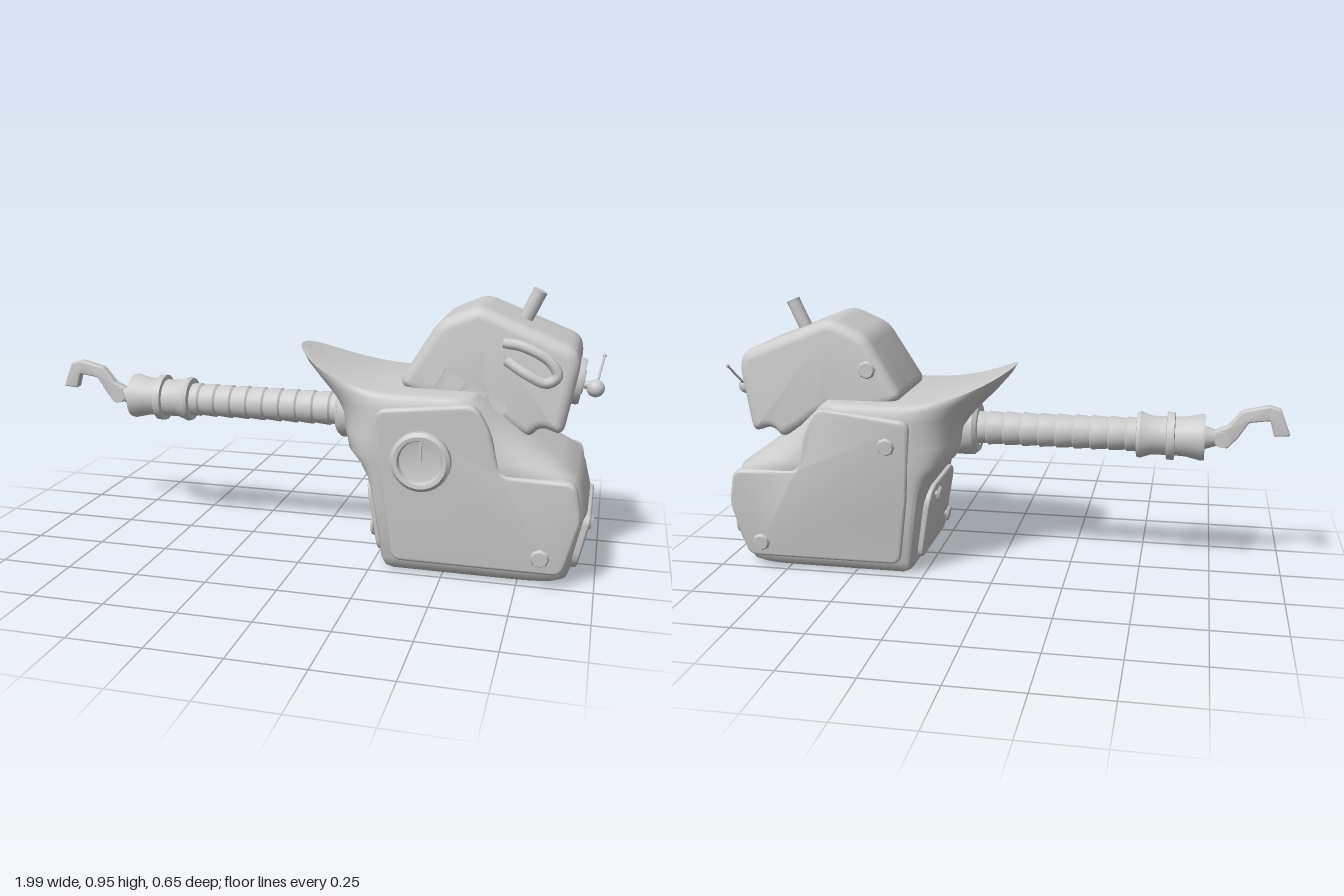
import * as THREE from 'three';
import { toCreasedNormals } from 'three/addons/utils/BufferGeometryUtils.js';

const grey = new THREE.MeshStandardMaterial({ color: 0xcccccc, side: THREE.DoubleSide });
const V = (x, y, z) => new THREE.Vector3(x, y, z);

function add(parent, name, geometry, pos = [0, 0, 0], rot = [0, 0, 0]) {
  const mesh = new THREE.Mesh(geometry, grey);
  mesh.name = name;
  mesh.position.set(...pos);
  mesh.rotation.set(...rot);
  parent.add(mesh);
  return mesh;
}

// Outline with softened corners
function roundedShape(points, r) {
  const p = points.map(([x, y]) => new THREE.Vector2(x, y)), n = p.length, s = new THREE.Shape();
  p.forEach((c, i) => {
    const toward = q => c.clone().add(q.clone().sub(c).setLength(Math.min(r, q.distanceTo(c) * 0.45)));
    const a = toward(p[(i + n - 1) % n]), b = toward(p[(i + 1) % n]);
    if (i) s.lineTo(a.x, a.y); else s.moveTo(a.x, a.y);
    s.quadraticCurveTo(c.x, c.y, b.x, b.y);
  });
  return s;
}

// Bevelled slab centred on z = 0
function slab(points, thick, bevel, round, steps = 1) {
  const g = new THREE.ExtrudeGeometry(roundedShape(points, round), {
    depth: thick - 2 * bevel, bevelThickness: bevel, bevelSize: bevel, bevelOffset: -bevel,
    bevelSegments: 4, curveSegments: 5, steps,
  });
  g.translate(0, 0, -(thick / 2 - bevel));
  return g;
}

// Body: rings stacked upward, boxy below, flaring to a rounded spout on the arm side
function bodyGeometry() {
  // y, xMin, xMax, halfZ, left exponent, right exponent, lift of the spout
  const rings = [
    [0.005, 0.32, 0.89, 0, 9, 9, 0], [0.005, 0.32, 0.89, 0.2, 9, 9, 0], [0.02, 0.297, 0.912, 0.222, 9, 9, 0],
    [0.05, 0.285, 0.922, 0.236, 9, 9, 0], [0.25, 0.255, 0.965, 0.256, 9, 9, 0],
    [0.33, 0.235, 0.945, 0.264, 7, 9, 0], [0.38, 0.2, 0.925, 0.27, 5, 8, 0],
    [0.42, 0.155, 0.87, 0.274, 4, 5, 0], [0.48, 0.13, 0.79, 0.278, 3, 4, 0],
    [0.53, 0.12, 0.72, 0.28, 2.6, 4, 0], [0.575, 0.085, 0.66, 0.282, 2.3, 5, 0.02],
    [0.61, 0.02, 0.62, 0.278, 2.1, 6, 0.06], [0.622, -0.03, 0.605, 0.27, 2, 6, 0.095],
    [0.628, -0.05, 0.6, 0.262, 2, 6, 0.112], [0.631, -0.045, 0.595, 0.245, 2, 6, 0.11],
    [0.633, -0.03, 0.59, 0, 2, 6, 0.1],
  ];
  const N = 72, cx = 0.35, pos = [], index = [];
  rings.forEach(([y, x0, x1, hz, nl, nr, lift], j) => {
    for (let i = 0; i < N; i++) {
      const a = (i / N) * Math.PI * 2, c = Math.cos(a), s = Math.sin(a);
      const e = 2 / (c < 0 ? nl : nr);
      const x = cx + Math.sign(c) * Math.abs(c) ** e * (c < 0 ? cx - x0 : x1 - cx);
      const z = Math.sign(s) * Math.abs(s) ** e * hz;
      const k = Math.max(0, (cx - x) / 0.4);
      pos.push(x, y + lift * k ** 2.2, z);
      if (j) {
        const p = (j - 1) * N + i, q = (j - 1) * N + (i + 1) % N;
        index.push(p, p + N, q, q, p + N, q + N);
      }
    }
  });
  const g = new THREE.BufferGeometry();
  g.setAttribute('position', new THREE.Float32BufferAttribute(pos, 3));
  g.setIndex(index);
  return toCreasedNormals(g, 0.7);
}

// Bolt with a thin stem and faceted cap, pointing along dir
function bolt(parent, at, dir) {
  const g = new THREE.Group();
  g.name = 'bolt';
  add(g, 'boltStem', new THREE.CylinderGeometry(0.01, 0.01, 0.04, 8), [0, -0.01, 0]);
  add(g, 'boltCap', new THREE.CylinderGeometry(0.026, 0.032, 0.01, 8), [0, 0.008, 0]);
  g.position.set(...at);
  g.quaternion.setFromUnitVectors(V(0, 1, 0), V(...dir).normalize());
  parent.add(g);
}

function makeBody() {
  const body = new THREE.Group();
  body.name = 'body';
  add(body, 'bodyShell', bodyGeometry());
  // Raised panels with a notch below the head
  const side = [[0.275, 0.585], [0.6, 0.62], [0.65, 0.53], [0.685, 0.385], [0.925, 0.38],
    [0.95, 0.25], [0.895, 0.05], [0.33, 0.05], [0.295, 0.3]];
  for (const s of [1, -1])
    add(body, 'sidePanel', toCreasedNormals(slab(side, 0.04, 0.012, 0.035), 0.7), [0, 0, s * 0.227], [s * 0.08, 0, 0]);
  const end = [[-0.2, 0.25], [0.2, 0.25], [0.19, 0.09], [0.15, 0.045], [-0.15, 0.045], [-0.19, 0.09]];
  add(body, 'endPanel', toCreasedNormals(slab(end, 0.03, 0.01, 0.03), 0.7), [0.913, 0, 0], [0.21, Math.PI / 2, 0, 'YXZ']);
  const back = [[-0.19, 0.28], [-0.15, 0.32], [0.15, 0.32], [0.19, 0.28], [0.18, 0.05], [-0.18, 0.05]];
  add(body, 'armSidePanel', toCreasedNormals(slab(back, 0.03, 0.01, 0.04), 0.7), [0.288, 0, 0], [0.16, -Math.PI / 2, 0, 'YXZ']);
  // Porthole
  const port = new THREE.LatheGeometry([[0, 0.012], [0.02, 0.008], [0.07, 0.018], [0.075, 0.034], [0.088, 0.036],
    [0.1, 0.025], [0.1, -0.03]].map(([r, y]) => new THREE.Vector2(r, y)), 32);
  add(body, 'porthole', toCreasedNormals(port, 0.6), [0.43, 0.42, 0.285], [Math.PI / 2, 0, 0]);
  add(body, 'portholeNeedle', new THREE.BoxGeometry(0.008, 0.07, 0.008), [0.43, 0.455, 0.305]);
  bolt(body, [0.825, 0.12, 0.283], [0, -0.08, 1]);
  bolt(body, [0.825, 0.12, -0.29], [0, -0.08, -1]);
  bolt(body, [0.35, 0.5, -0.312], [0, -0.08, -1]);
  bolt(body, [0.968, 0.12, -0.125], [1, -0.2, 0]);
  bolt(body, [0.248, 0.12, 0.13], [-1, -0.15, 0]);
  bolt(body, [0.22, 0.28, -0.12], [-1, -0.15, 0]);
  return body;
}

function makeHead() {
  const head = new THREE.Group();
  head.name = 'head';
  const outline = [[0.32, 0.64], [0.45, 0.855], [0.58, 0.912], [0.9, 0.785], [0.915, 0.73], [0.87, 0.495],
    [0.8, 0.525], [0.76, 0.48], [0.68, 0.53], [0.6, 0.59], [0.4, 0.6]];
  const g = slab(outline, 0.37, 0.035, 0.035, 4), p = g.attributes.position;
  // Sides lean in toward the top
  for (let i = 0; i < p.count; i++)
    p.setZ(i, p.getZ(i) * (1.05 - 0.17 * (p.getY(i) - 0.49) / 0.4) - 0.025);
  add(head, 'skull', toCreasedNormals(g, 0.6));
  for (let i = 0; i < 4; i++) // row of raised blocks along the jaw
    add(head, 'jawBlock', new THREE.BoxGeometry(0.06, 0.07, 0.02),
      [0.44 + i * 0.07, 0.685 - i * 0.037, 0.152 + i * 0.003], [-0.08, 0, -0.48]);
  const loop = new THREE.CatmullRomCurve3([V(0.67, 0.795, 0.14), V(0.73, 0.79, 0.16), V(0.82, 0.745, 0.165),
    V(0.845, 0.7, 0.165), V(0.815, 0.675, 0.168), V(0.75, 0.7, 0.168), V(0.68, 0.74, 0.15)]);
  add(head, 'sideLoop', new THREE.TubeGeometry(loop, 32, 0.018, 8));
  // Chimney
  const pipe = new THREE.CatmullRomCurve3([V(0.7, 0.81, -0.02), V(0.735, 0.88, -0.02), V(0.765, 0.945, -0.02)]);
  add(head, 'chimney', new THREE.TubeGeometry(pipe, 8, 0.024, 12));
  add(head, 'chimneyCap', new THREE.CylinderGeometry(0.025, 0.024, 0.01, 12), [0.765, 0.945, -0.02], [0, 0, -0.42]);
  // Eye with knob and feeler
  const eye = new THREE.LatheGeometry([[0, 0.014], [0.035, 0.014], [0.038, 0.024], [0.05, 0.01], [0.075, 0.02], [0.08, 0.01],
    [0.08, -0.03]].map(([r, y]) => new THREE.Vector2(r, y)), 24);
  add(head, 'eyeRing', toCreasedNormals(eye, 0.6), [0.902, 0.65, -0.02], [0, 0, -Math.PI / 2 - 0.16]);
  add(head, 'eyeStem', new THREE.CylinderGeometry(0.014, 0.014, 0.06, 12), [0.93, 0.638, -0.02], [0, 0, -Math.PI / 2 - 0.16]);
  add(head, 'eyeKnob', new THREE.SphereGeometry(0.03, 20, 14), [0.963, 0.627, -0.02]);
  add(head, 'feeler', new THREE.TubeGeometry(new THREE.LineCurve3(V(0.965, 0.63, -0.03), V(0.985, 0.72, -0.128)), 1, 0.004, 6));
  add(head, 'feelerTip', new THREE.SphereGeometry(0.007, 8, 6), [0.985, 0.72, -0.128]);
  bolt(head, [0.435, 0.745, -0.225], [0, 0, -1]);
  return head;
}

function makeArm() {
  const arm = new THREE.Group();
  arm.name = 'arm';
  // Ribbed sleeve: profile runs outward along the arm
  const sleeve = [];
  for (let i = 0; i < 10; i++)
    sleeve.push([0.055, -0.12 + i * 0.062], [0.061, -0.113 + i * 0.062], [0.057, -0.066 + i * 0.062]);
  const cuff = [[0.05, 0.475], [0.078, 0.478], [0.082, 0.49], [0.068, 0.53], [0.068, 0.58], [0.084, 0.582], [0.084, 0.608],
    [0.068, 0.61], [0.07, 0.65], [0.082, 0.7], [0.08, 0.712], [0.055, 0.712], [0.05, 0.7], [0, 0.7]];
  const collar = [[0.06, -0.16], [0.1, -0.16], [0.098, -0.1], [0.085, -0.085], [0.064, -0.085], [0.06, -0.12]];
  for (const [name, pts] of [['armSleeve', sleeve], ['cuff', cuff], ['shoulderCollar', collar]]) {
    const g = new THREE.LatheGeometry(pts.map(([r, y]) => new THREE.Vector2(r, y)), 24);
    add(arm, name, toCreasedNormals(g, 0.6), [0, 0.503, -0.005], [0, 0, Math.PI / 2]);
  }
  // Wrist and hooked claw
  add(arm, 'wrist', new THREE.CylinderGeometry(0.022, 0.045, 0.07, 10), [-0.735, 0.503, -0.005], [0, 0, Math.PI / 2]);
  add(arm, 'wristPin', new THREE.CylinderGeometry(0.028, 0.028, 0.06, 12), [-0.772, 0.503, -0.005], [Math.PI / 2, 0, 0]);
  const claw = [[-0.74, 0.48], [-0.735, 0.525], [-0.79, 0.55], [-0.835, 0.605], [-0.925, 0.627], [-0.965, 0.615], [-1, 0.525],
    [-0.945, 0.52], [-0.93, 0.575], [-0.86, 0.565], [-0.825, 0.51], [-0.79, 0.47]];
  add(arm, 'claw', toCreasedNormals(slab(claw, 0.034, 0.006, 0.006), 0.5), [0, 0, -0.008]);
  return arm;
}

export function createModel() {
  const model = new THREE.Group();
  model.name = 'robot';
  model.add(makeBody(), makeHead(), makeArm());
  return model;
}
